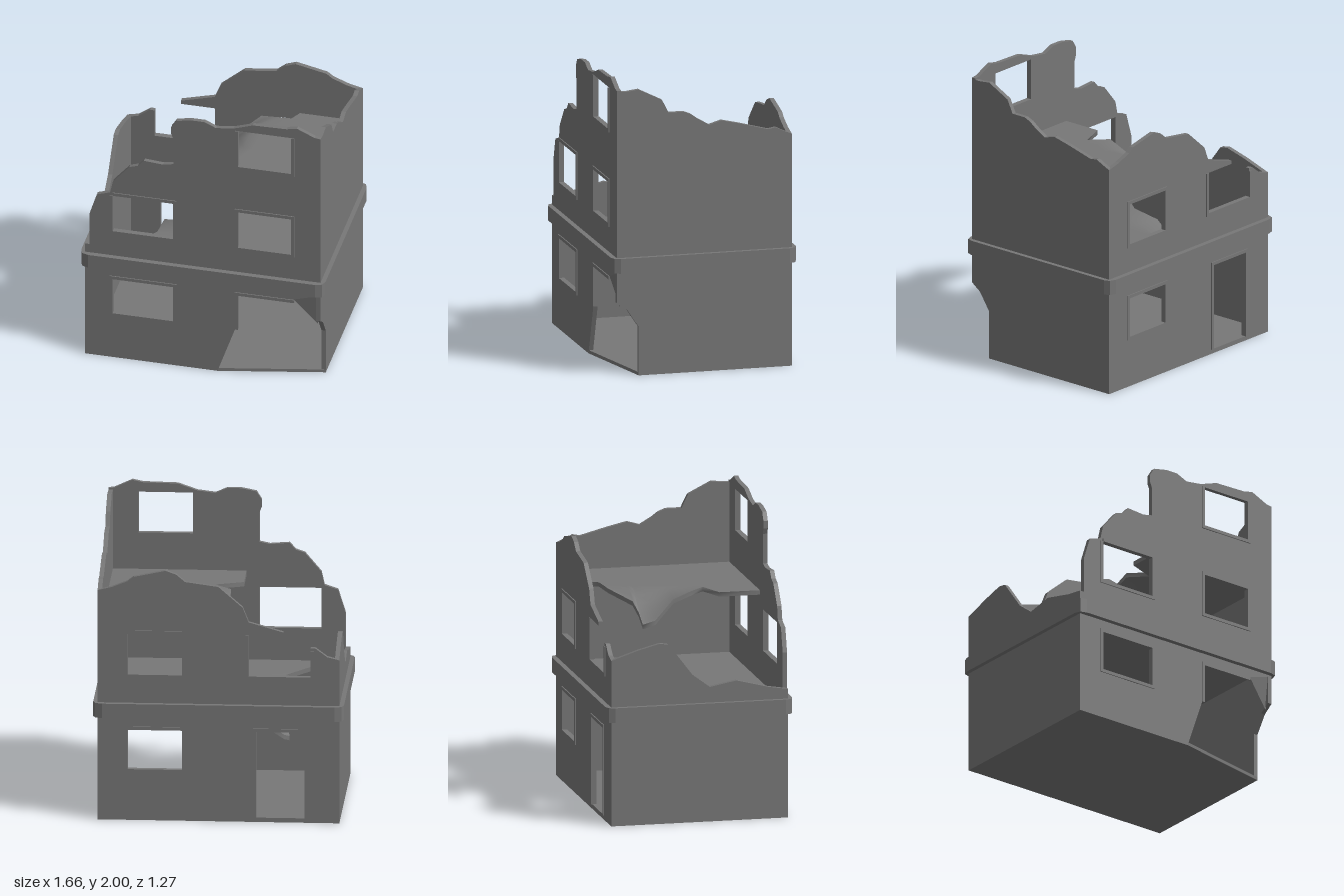
import * as THREE from 'three';

const T = 0.03; // wall and floor thickness
const concrete = new THREE.MeshStandardMaterial({ color: 0x777777, side: THREE.DoubleSide });
concrete.name = 'concrete grey';

const clamp = THREE.MathUtils.clamp;
const outline = (pts) => new THREE.Shape(pts.map(([x, y]) => new THREE.Vector2(x, y)));
const rect = ([x0, y0, x1, y1]) =>
  new THREE.Path([[x0, y0], [x0, y1], [x1, y1], [x1, y0]].map(([x, y]) => new THREE.Vector2(x, y)));

function slab(pts, holes = [], depth = T) {
  const shape = outline(pts);
  shape.holes = holes.map(rect);
  return new THREE.ExtrudeGeometry(shape, { depth, bevelEnabled: false });
}

// Broken floor: a box whose -x side follows the [z, x] edge and sags by a rule
function brokenFloor(edge, top, sag) {
  const rows = edge.length - 1;
  const geo = new THREE.BoxGeometry(1, 1, 1, 14, 1, rows);
  const p = geo.attributes.position;
  for (let i = 0; i < p.count; i++) {
    const [z, x0] = edge[Math.round((p.getZ(i) + 0.5) * rows)];
    const x = THREE.MathUtils.lerp(x0, 0.78, Math.pow(p.getX(i) + 0.5, 1.5));
    p.setXYZ(i, x, top - T / 2 + p.getY(i) * T - sag(x, z), z);
  }
  geo.computeVertexNormals();
  return geo;
}

export function createModel() {
  const model = new THREE.Group();
  model.name = 'ruinedBuilding';
  const add = (name, geo, x = 0, y = 0, z = 0) => {
    const mesh = new THREE.Mesh(geo, concrete);
    mesh.name = name;
    mesh.position.set(x, y, z);
    model.add(mesh);
    return mesh;
  };

  // Front wall with ragged top and the collapsed lower corner
  const frontWindows = [[-0.61, 0.35, -0.2, 0.62], [-0.61, 1, -0.2, 1.28], [0.24, 1, 0.6, 1.28], [0.24, 1.64, 0.6, 1.92]];
  add('frontWall', slab([
    [-0.8, 0], [0.1, 0], [0.22, 0.35], [0.24, 0.35], [0.24, 0.62], [0.6, 0.62], [0.62, 0.645], [0.8, 0.7],
    [0.8, 1.94], [0.76, 1.945], [0.64, 2], [0.57, 1.985], [0.34, 1.98], [0.21, 1.935], [0.09, 1.92],
    [0.01, 1.955], [-0.08, 1.955], [-0.18, 1.935], [-0.215, 1.88], [-0.215, 1.83], [-0.2, 1.79], [-0.2, 1.59],
    [-0.27, 1.575], [-0.4, 1.585], [-0.44, 1.54], [-0.5, 1.52], [-0.61, 1.39], [-0.63, 1.3], [-0.72, 1.27],
    [-0.77, 1.11], [-0.77, 0.8], [-0.8, 0.8],
  ], frontWindows), 0, 0, 0.6 - T);

  // Back wall with doorway and one window broken open at the top
  add('backWall', slab([
    [-0.8, 0], [0.8, 0], [0.8, 1.575], [0.7, 1.6], [0.6, 1.64], [0.56, 1.67], [0.35, 1.715], [0.28, 1.69],
    [0.22, 1.64], [0, 1.61], [-0.08, 1.54], [-0.16, 1.47], [-0.2, 1.37], [-0.43, 1.305], [-0.43, 1.28],
    [-0.2, 1.28], [-0.2, 1], [-0.61, 1], [-0.61, 1.2], [-0.64, 1.2], [-0.72, 1.14], [-0.8, 1.12],
  ], [[0.24, 0.35, 0.6, 0.62], [0.24, 1, 0.6, 1.28], [-0.57, 0.03, -0.25, 0.62]]), 0, 0, -0.6);

  // Side walls, drawn as [z, y] and turned to face sideways
  add('leftWall', slab([
    [-0.6, 0], [0.45, 0], [0.45, 0.33], [0.53, 0.45], [0.6, 0.5], [0.6, 1.93], [0.53, 1.93], [0.45, 1.94],
    [0.37, 1.9], [0.29, 1.86], [0.245, 1.77], [0.14, 1.77], [0.09, 1.75], [0.05, 1.72], [-0.035, 1.67],
    [-0.12, 1.695], [-0.25, 1.665], [-0.44, 1.615], [-0.49, 1.625], [-0.54, 1.6], [-0.6, 1.575],
  ]).rotateY(-Math.PI / 2), 0.8);
  add('rightWall', slab([
    [-0.6, 0], [0.6, 0], [0.6, 0.87], [0.47, 0.89], [0.25, 0.945], [0.07, 0.91], [-0.05, 1], [-0.21, 1.21],
    [-0.27, 1.22], [-0.42, 1.18], [-0.6, 1.12],
  ]).rotateY(-Math.PI / 2), -0.8 + T);

  // Chipped corner face above the collapse
  const chip = new THREE.BufferGeometry();
  chip.setAttribute('position', new THREE.Float32BufferAttribute(
    [0.62, 0.645, 0.6, 0.775, 0.46, 0.57, 0.8, 0.7, 0.6], 3));
  chip.computeVertexNormals();
  add('chippedCorner', chip);

  // Ground slab, cut off along the collapsed corner
  add('groundFloor', slab([[-0.8, -0.6], [0.1, -0.6], [0.8, -0.45], [0.8, 0.6], [-0.8, 0.6]], [], 0.022)
    .rotateX(-Math.PI / 2));

  // Ledge around the building
  add('ledge', slab([
    [0.77, 0.635], [0.815, 0.62], [0.83, 0.58], [0.83, -0.58], [0.815, -0.62], [0.77, -0.635],
    [-0.77, -0.635], [-0.815, -0.62], [-0.83, -0.58], [-0.83, 0.58], [-0.815, 0.62], [-0.77, 0.635],
  ], [[-0.79, -0.59, 0.79, 0.59]], 0.1).rotateX(-Math.PI / 2), 0, 0.705);

  // Broken upper floors
  add('middleFloor', brokenFloor([
    [-0.485, -0.04], [-0.47, -0.06], [-0.4, -0.15], [-0.37, -0.26], [-0.36, -0.36], [-0.33, -0.42],
    [-0.27, -0.45], [-0.12, -0.425], [0.02, -0.4], [0.22, -0.4], [0.46, -0.585], [0.58, -0.585],
  ], 0.78, (x, z) => 0.8 * Math.max(0, -0.1 - x) * clamp((0.05 - z) / 0.25, 0, 1)));
  add('topFloor', brokenFloor([
    [-0.485, 0.4], [-0.41, 0.36], [-0.395, 0.16], [-0.26, 0.03], [-0.235, -0.04], [-0.225, -0.115],
    [-0.14, -0.115], [0, -0.04], [0.12, -0.04], [0.225, 0.07], [0.295, -0.115], [0.58, -0.115],
  ], 1.39, (x, z) => 0.9 * Math.max(0, 0.12 - x) * clamp(1 - Math.abs(z + 0.2) / 0.3, 0, 1)));

  // Thin trim around openings; sides: l, r, t, b
  const W = 0.022, P = 0.008;
  const frame = (name, [x0, y0, x1, y1], sign, sides = 'lrtb') => {
    const bars = {
      l: [x0 - W, y0, x0, y1], r: [x1, y0, x1 + W, y1],
      t: [x0 - W, y1, x1 + W, y1 + W], b: [x0 - W, y0 - W, x1 + W, y0],
    };
    for (const s of sides) {
      const [a, b, c, d] = bars[s];
      add(name, new THREE.BoxGeometry(c - a, d - b, P), (a + c) / 2, (b + d) / 2, sign * (0.6 + P / 2 - 0.001));
    }
  };
  frontWindows.forEach((w, i) => frame('frontWindowTrim', w, 1, i === 1 ? 'lrb' : i === 3 ? 'lrb' : 'lrtb'));
  frame('frontWindowTrim', [-0.59, 1, -0.2, 1.28], 1, 't');
  frame('collapsedWindowTrim', [0.24, 0.35, 0.6, 0.62], 1, 'lt');
  frame('backWindowTrim', [0.24, 0.35, 0.6, 0.62], -1);
  frame('backWindowTrim', [0.24, 1, 0.6, 1.28], -1);
  frame('doorTrim', [-0.57, 0.03, -0.25, 0.62], -1, 'lrt');
  frame('brokenWindowTrim', [-0.61, 1, -0.2, 1.18], -1, 'lb');
  frame('brokenWindowTrim', [-0.61, 1, -0.2, 1.28], -1, 'r');
  return model;
}
